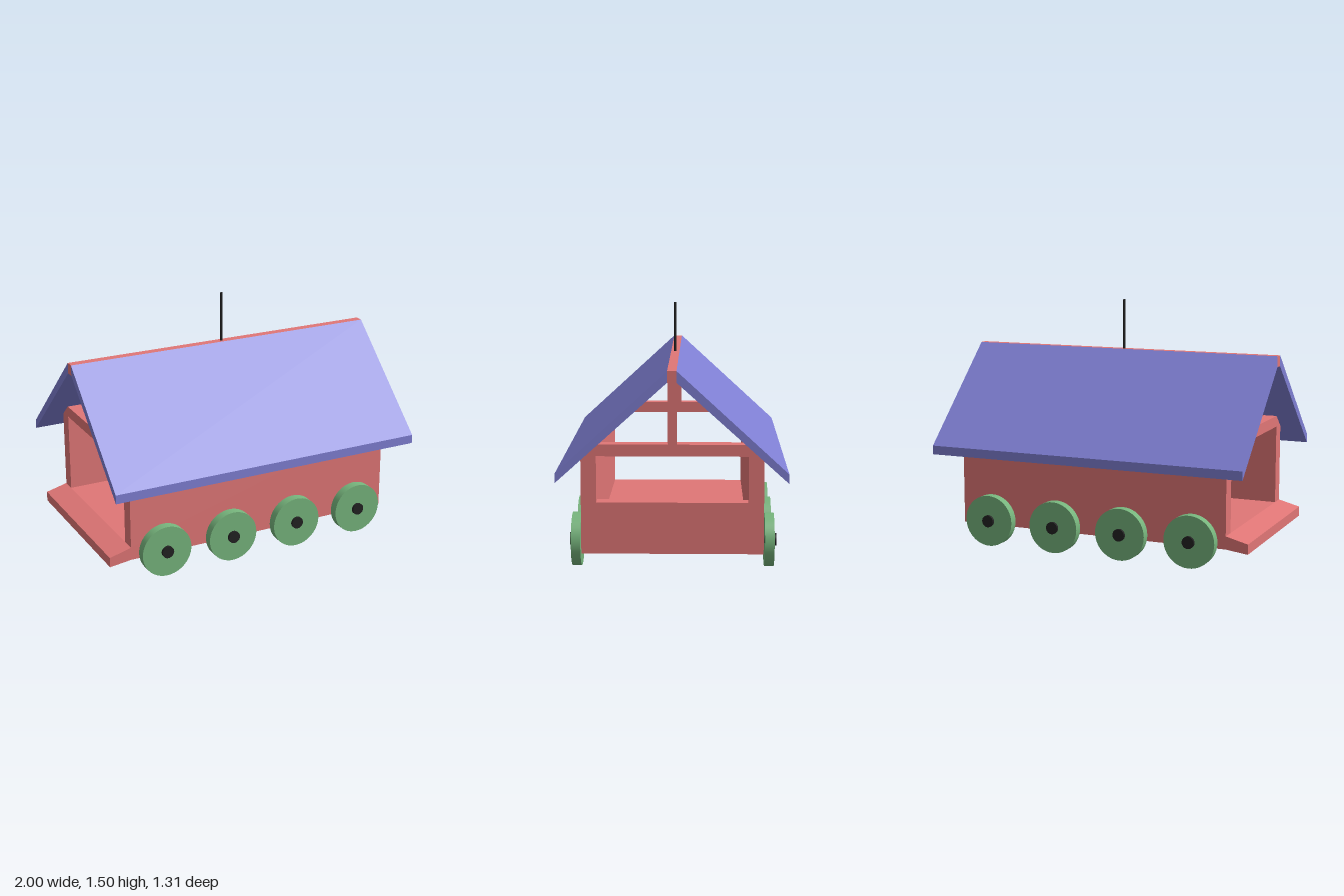
import * as THREE from 'three';

const mat = (color) => new THREE.MeshStandardMaterial({ color });

export function createModel() {
  const root = new THREE.Group();
  const red = mat(0xe07676), blue = mat(0x7e7ed2), green = mat(0x76b47c), black = mat(0x222222);

  const add = (name, geometry, material) => {
    const mesh = new THREE.Mesh(geometry, material);
    mesh.name = name;
    root.add(mesh);
    return mesh;
  };
  const shapeOf = (points) => new THREE.Shape(points.map(([a, b]) => new THREE.Vector2(a, b)));

  // Extrudes a (z, y) cross-section along x from x0 to x1
  const alongX = (points, x0, x1, hole) => {
    const shape = shapeOf(points.map(([z, y]) => [-z, y]));
    if (hole) shape.holes.push(shapeOf(hole));
    const g = new THREE.ExtrudeGeometry(shape, { depth: x1 - x0, bevelEnabled: false });
    return g.rotateY(Math.PI / 2).translate(x0, 0, 0);
  };
  const rect = (z0, z1, y0, y1) => [[z0, y0], [z1, y0], [z1, y1], [z0, y1]];

  const L = 0.86, W = 0.523, IN = 0.437, T = 0.085;
  const FLOOR = 0.2, BASE = 0.122, EAVE = 0.69, BEAM = 0.758;

  // Floor with the sloping tail ramp, as one side profile
  const floorShape = shapeOf([
    [-0.995, 0.105], [-L, BASE], [L, BASE], [L, FLOOR], [-L, FLOOR], [-0.995, 0.165],
  ]);
  add('floorAndRamp', new THREE.ExtrudeGeometry(floorShape, { depth: 2 * W, bevelEnabled: false })
    .translate(0, 0, -W), red);

  // Side walls, tops cut to the roof slope
  for (const s of [1, -1]) {
    add(s > 0 ? 'frontWall' : 'backWall', alongX(
      [[s * W, FLOOR], [s * W, EAVE], [s * IN, BEAM], [s * IN, FLOOR]], -L, L), red);
  }

  // Closed end with a wide window
  add('windowWall', alongX(
    [[-IN, FLOOR], [IN, FLOOR], [IN, BEAM], [-IN, BEAM]], L - T, L,
    rect(-IN + 0.002, IN - 0.002, 0.422, EAVE)), red);
  // Crossbeam over the open end
  add('doorBeam', alongX(rect(-IN, IN, EAVE, BEAM), -L, -L + T), red);

  // King posts and ridge beam
  for (const s of [1, -1]) {
    const post = add(s > 0 ? 'leftPost' : 'rightPost',
      new THREE.BoxGeometry(T, 1.14 - BEAM, 0.052), red);
    post.position.set(s * (L - T / 2), (1.14 + BEAM) / 2, 0);
  }
  add('ridgeBeam', alongX(rect(-0.026, 0.026, 1.13, 1.195), -1, 1), red);

  // Roof slopes
  for (const s of [1, -1]) {
    add(s > 0 ? 'frontRoof' : 'backRoof', alongX(
      [[s * 0.026, 1.195], [s * 0.655, 0.617], [s * 0.655, 0.563], [s * 0.026, 1.13]], -1, 1), blue);
  }

  // Wheels and through axles
  for (const x of [-0.657, -0.22, 0.217, 0.655]) {
    const axle = add('axle', new THREE.CylinderGeometry(0.037, 0.037, 1.21, 24).rotateX(Math.PI / 2), black);
    axle.position.set(x, 0.16, 0);
    for (const s of [1, -1]) {
      const wheel = add('wheel', new THREE.CylinderGeometry(0.157, 0.157, 0.055, 48).rotateX(Math.PI / 2), green);
      wheel.position.set(x, 0.16, s * 0.561);
    }
  }

  // Mast on the ridge
  add('mast', new THREE.CylinderGeometry(0.008, 0.008, 0.36, 16), black).position.y = 1.32;

  return root;
}
